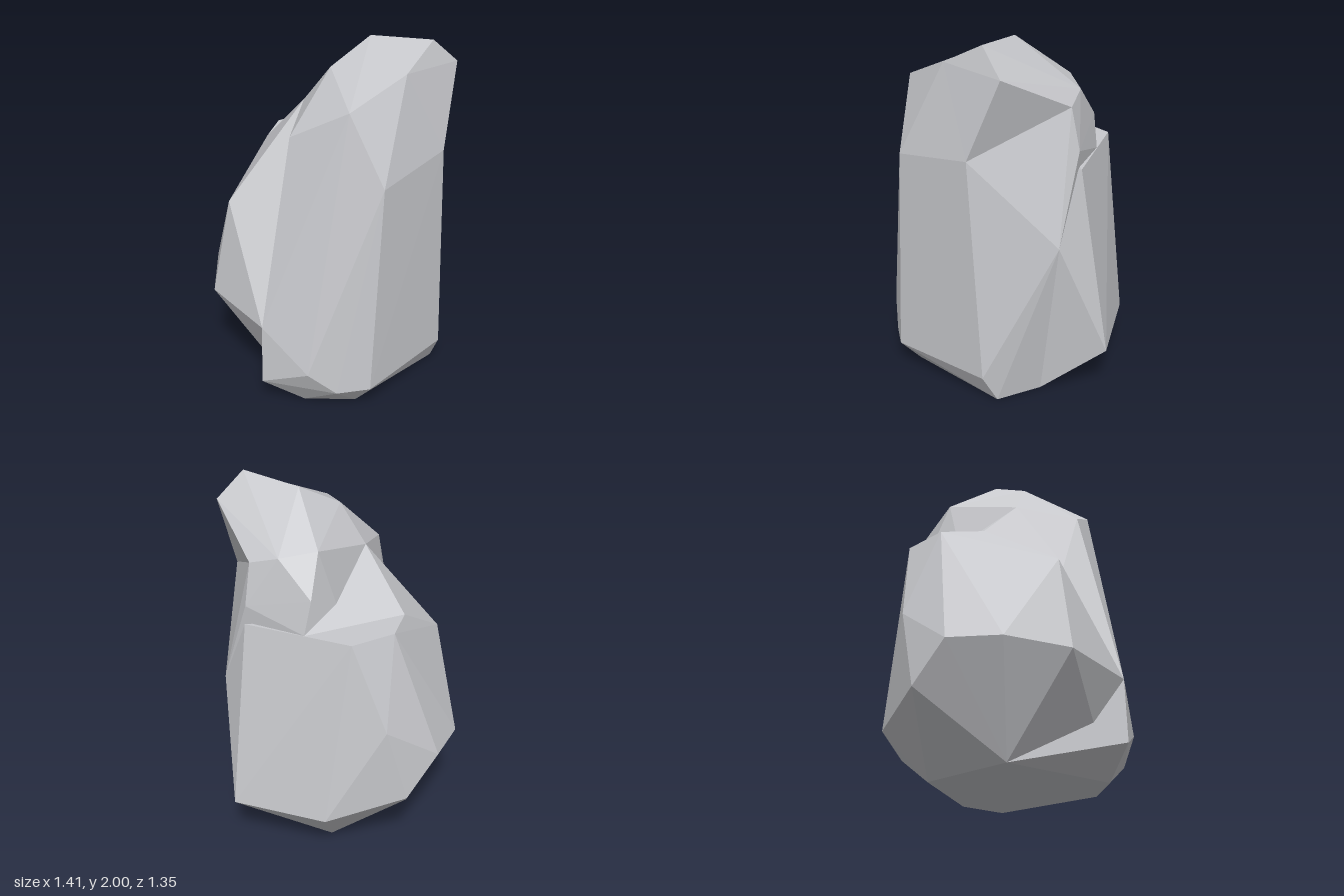
import * as THREE from 'three';
import { ConvexGeometry } from 'three/addons/geometries/ConvexGeometry.js';

// A faceted boulder: overlapping convex chunks whose seams form the notch, the scoop and the rear ledge.
export function createModel() {
  const group = new THREE.Group();
  group.name = 'boulder';

  const stone = new THREE.MeshStandardMaterial({ color: 0xc8c9cd });
  stone.name = 'grey stone';

  const addChunk = (name, corners) => {
    const geometry = new ConvexGeometry(corners.map((c) => new THREE.Vector3(...c)));
    const mesh = new THREE.Mesh(geometry, stone);
    mesh.name = name;
    group.add(mesh);
  };

  // Corners shared by neighbouring chunks
  const backBase = [[0.5, 0, 0.05], [-0.36, 0, 0.42], [-0.36, 0, -0.24], [0.17, 0, -0.38]];
  const saddle = [-0.16, 1.63, -0.03];
  const cheek = [-0.58, 0.5, 0.36];
  const bulge = [0.65, 0.93, 0.03];
  const brow = [-0.6, 1.08, -0.07];
  const flank = [0.56, 1.42, -0.13];
  const ledgeLeft = [0.32, 1.32, -0.38];
  const ledgeRight = [-0.27, 1.32, -0.33];
  const nape = [[0.2, 1.73, -0.27], [0.4, 1.7, -0.22], [0.52, 1.65, -0.1]];
  const shoulder = [
    ...nape, [-0.06, 1.84, 0.1], [0.19, 1.97, 0.06], [0.2, 1.88, 0.47], [0.44, 1.42, 0.46],
  ];

  // Tall front body
  addChunk('frontBody', [
    ...backBase, ...shoulder, saddle, cheek, bulge, flank, ledgeLeft,
    [0.5, 0, 0.32], [-0.1, 0, 0.54],
    [-0.59, 0.15, 0.36], [-0.4, 0.27, 0.57], [-0.25, 0.14, 0.62],
    [-0.07, 0.15, 0.67], [0.5, 0.16, 0.41],
    [0, 1.35, 0.65], [-0.14, 1.74, 0.52], [-0.36, 1.55, 0.26],
  ]);

  // Overhanging peak
  addChunk('peak', [...shoulder, [0.41, 2, 0.35], [0.57, 1.86, 0.33]]);

  // Wedge behind the peak, dropping to the ledge
  addChunk('backWedge', [...nape, flank, ledgeLeft, [0.28, 1.51, -0.38], [0.2, 1.4, 0]]);

  // Slope from the notch down to the ledge
  addChunk('ramp', [saddle, ledgeLeft, ledgeRight, brow, cheek, [0.2, 0.9, 0]]);

  // Lower rear chunk with a flat ledge on top
  addChunk('rearLedge', [
    ...backBase, cheek, bulge, brow, ledgeLeft, ledgeRight,
    [0.57, 1.32, -0.14], [0.13, 1.32, -0.57], [-0.13, 1.32, -0.52],
    [-0.71, 0.53, -0.08], [-0.58, 0.565, -0.41], [-0.37, 0.575, -0.62],
    [-0.03, 0.82, -0.68], [-0.16, 0.37, -0.68], [0.29, 0.27, -0.6], [0.705, 0.27, -0.25],
  ]);

  return group;
}
